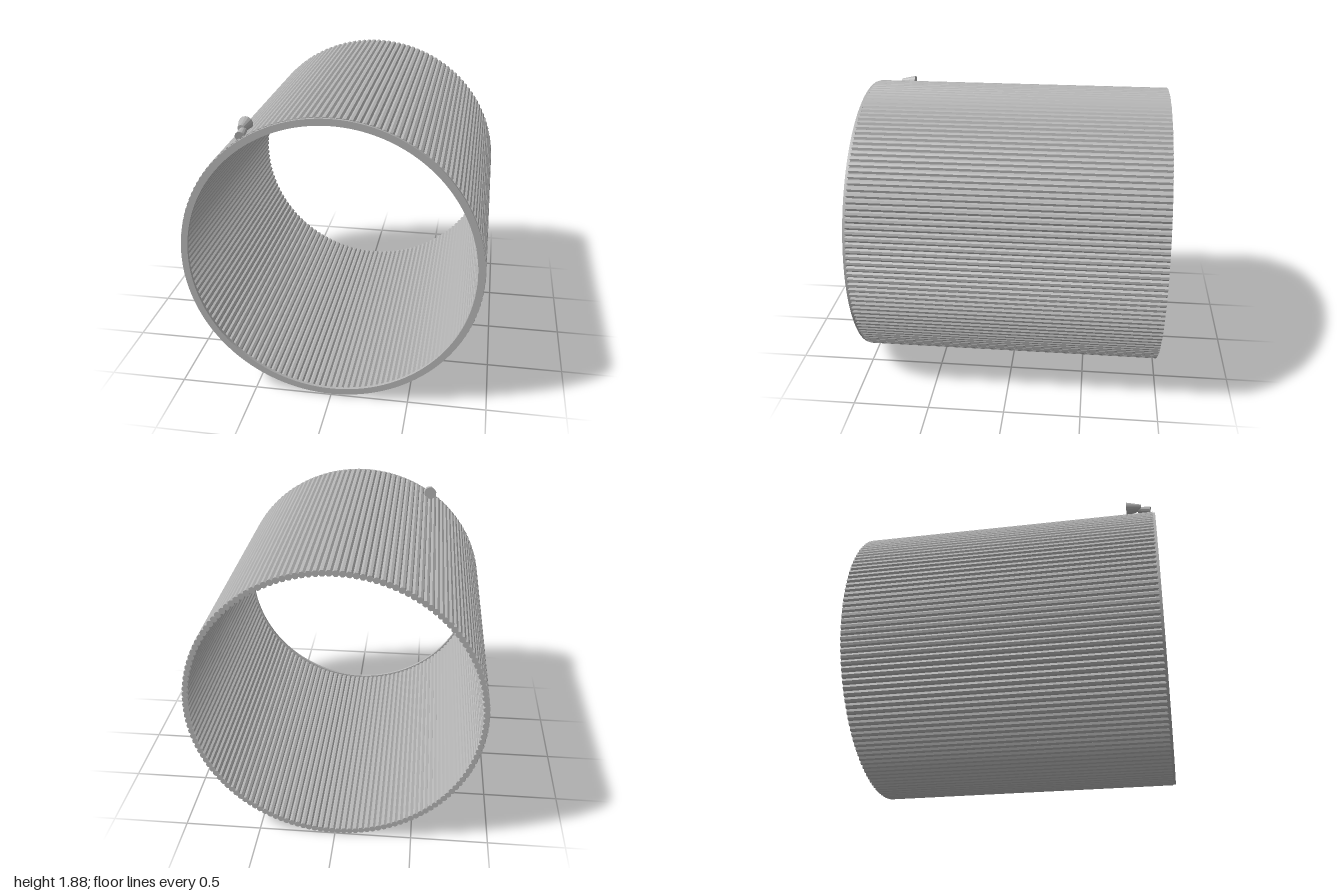
import * as THREE from 'three';

export function createModel() {
  const model = new THREE.Group();
  const grey = new THREE.MeshStandardMaterial({ color: 0xb4b4b4, flatShading: true });
  grey.name = 'grey';
  const radius = 0.9425;

  function add(parent, name, geometry) {
    const mesh = new THREE.Mesh(geometry, grey);
    mesh.name = name;
    parent.add(mesh);
    return mesh;
  }

  // Barrel wall: slim eight-sided bars side by side, one flat facing outwards
  const wall = new THREE.Group();
  wall.name = 'barWall';
  wall.position.y = radius;
  model.add(wall);
  const count = 150, half = 0.0195, middle = radius - half;
  const barRadius = half / Math.cos(Math.PI / 8);
  const bar = new THREE.CylinderGeometry(barRadius, barRadius, 1.985, 8)
    .rotateY(Math.PI / 8).rotateX(Math.PI / 2);
  for (let i = 0; i < count; i++) {
    const a = (i / count) * Math.PI * 2;
    const mesh = add(wall, 'bar', bar);
    mesh.position.set(middle * Math.cos(a), middle * Math.sin(a), -0.0075);
    mesh.rotation.z = a;
  }

  // Flat ring closing the front ends of the bars
  const outline = new THREE.Shape().absarc(0, 0, 0.937, 0, Math.PI * 2, false);
  outline.holes.push(new THREE.Path().absarc(0, 0, 0.895, 0, Math.PI * 2, true));
  const ring = add(model, 'frontRing', new THREE.ExtrudeGeometry(outline, {
    depth: 0.02, bevelEnabled: false, curveSegments: 96,
  }));
  ring.position.set(0, radius, 0.98);

  // Small fitting on the upper right: a flared horn with a tapered foot
  const fitting = new THREE.Group();
  fitting.name = 'fitting';
  model.add(fitting);
  const horn = add(fitting, 'horn',
    new THREE.CylinderGeometry(0.022, 0.045, 0.1, 14).rotateX(Math.PI / 2));
  horn.position.set(-0.532, 1.763, 0.86);
  const foot = add(fitting, 'foot',
    new THREE.CylinderGeometry(0.032, 0.022, 0.08, 14).rotateX(Math.PI / 2));
  foot.position.set(-0.523, 1.742, 0.93);
  foot.rotation.x = 0.2;

  return model;
}
